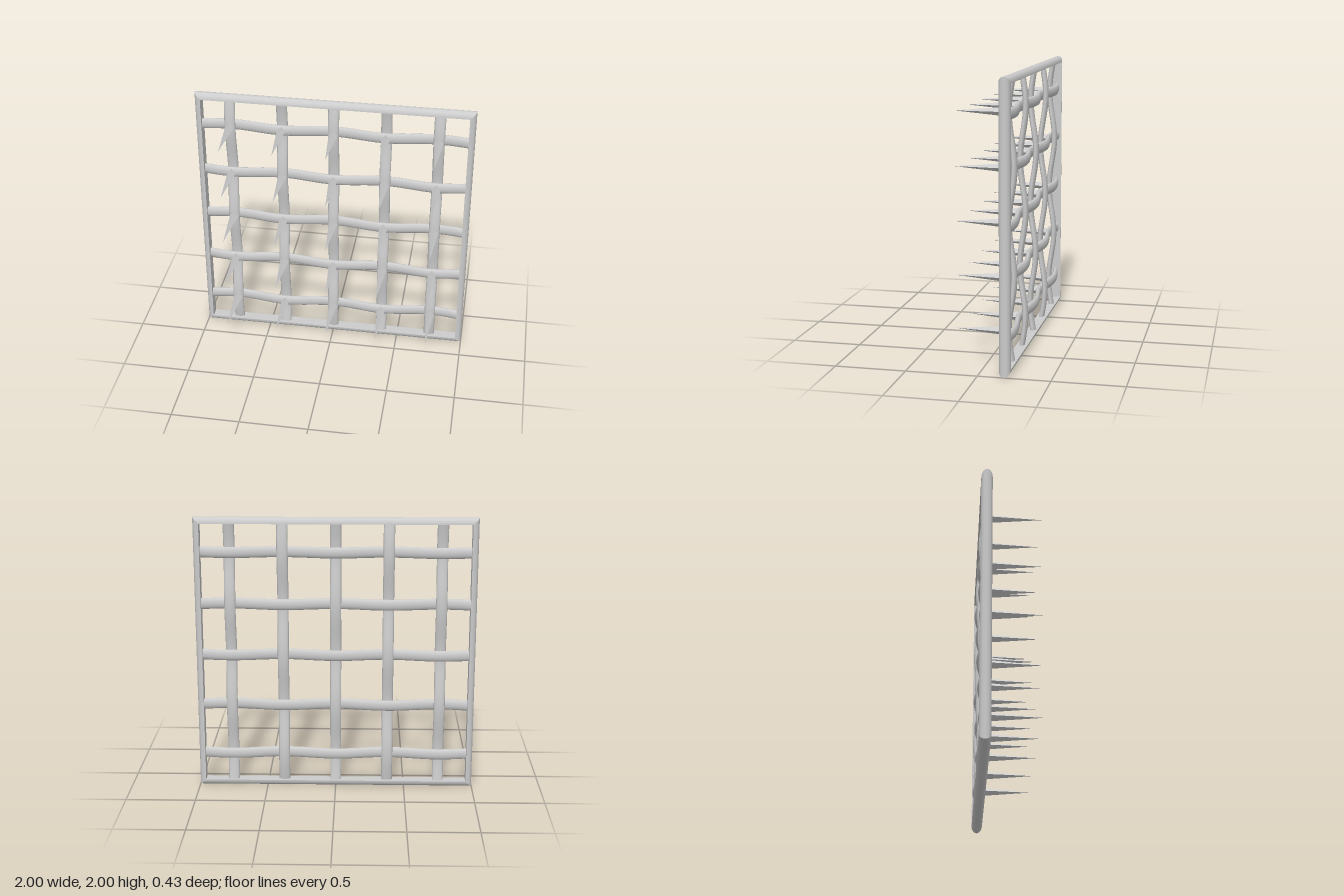
import * as THREE from 'three';
import { toCreasedNormals } from 'three/addons/utils/BufferGeometryUtils.js';

const MID_Z = -0.18;      // depth of the grid's middle plane
const STEP = 0.375;       // spacing between bars
const WAVE = 0.02;        // how far the bars weave in and out

// Half-round frame rail with mitred ends, flat side facing inward
function railGeometry() {
  const shape = new THREE.Shape();
  shape.moveTo(0.04, 0.955);
  shape.absellipse(0, 0.955, 0.04, 0.045, 0, Math.PI, false, 0);
  shape.closePath();
  const geo = new THREE.ExtrudeGeometry(shape, { depth: 1, bevelEnabled: false, curveSegments: 12 });
  const p = geo.attributes.position;
  for (let i = 0; i < p.count; i++) {
    const z = -p.getX(i), y = p.getY(i), t = p.getZ(i);
    p.setXYZ(i, (t * 2 - 1) * y, y, z);
  }
  return toCreasedNormals(geo, 0.6);
}

// Upright oval bar that weaves in z; sign picks the phase
function barGeometry(sign) {
  const geo = new THREE.CylinderGeometry(0.04, 0.04, 1.91, 16, 40);
  geo.scale(1, 1, 0.5);
  const p = geo.attributes.position;
  for (let i = 0; i < p.count; i++) {
    p.setZ(i, p.getZ(i) + sign * WAVE * Math.cos((Math.PI * p.getY(i)) / STEP));
  }
  return toCreasedNormals(geo, 0.9);
}

export function createModel() {
  const model = new THREE.Group();
  model.name = 'spikedGrate';
  const smooth = new THREE.MeshStandardMaterial({ color: 0xcccccc });
  const faceted = new THREE.MeshStandardMaterial({ color: 0xcccccc, flatShading: true });

  const add = (name, geo, mat, x, y, z, parent) => {
    const mesh = new THREE.Mesh(geo, mat);
    mesh.name = name;
    mesh.position.set(x, y, z);
    parent.add(mesh);
    return mesh;
  };
  const group = (name) => {
    const g = new THREE.Group();
    g.name = name;
    model.add(g);
    return g;
  };

  // Outer frame
  const frame = group('frame');
  const rail = railGeometry();
  ['topRail', 'leftRail', 'bottomRail', 'rightRail'].forEach((name, i) => {
    add(name, rail, smooth, 0, 1, MID_Z, frame).rotation.z = (-i * Math.PI) / 2;
  });

  // Woven bars, alternating over and under
  const bars = group('bars');
  const over = barGeometry(1);
  const under = barGeometry(-1);
  for (let i = -2; i <= 2; i++) {
    const even = i % 2 === 0;
    add('verticalBar', even ? over : under, smooth, i * STEP, 1, MID_Z, bars);
    const row = add('horizontalBar', even ? under : over, smooth, 0, 1 + i * STEP, MID_Z, bars);
    row.rotation.z = Math.PI / 2;
  }

  // Four-sided spikes at every crossing
  const spikes = group('spikes');
  const spike = new THREE.ConeGeometry(0.034, 0.385, 4);
  spike.rotateX(Math.PI / 2);
  for (let i = -2; i <= 2; i++) {
    for (let j = -2; j <= 2; j++) {
      add('spike', spike, faceted, i * STEP, 1 + j * STEP, 0.02, spikes);
    }
  }
  return model;
}
